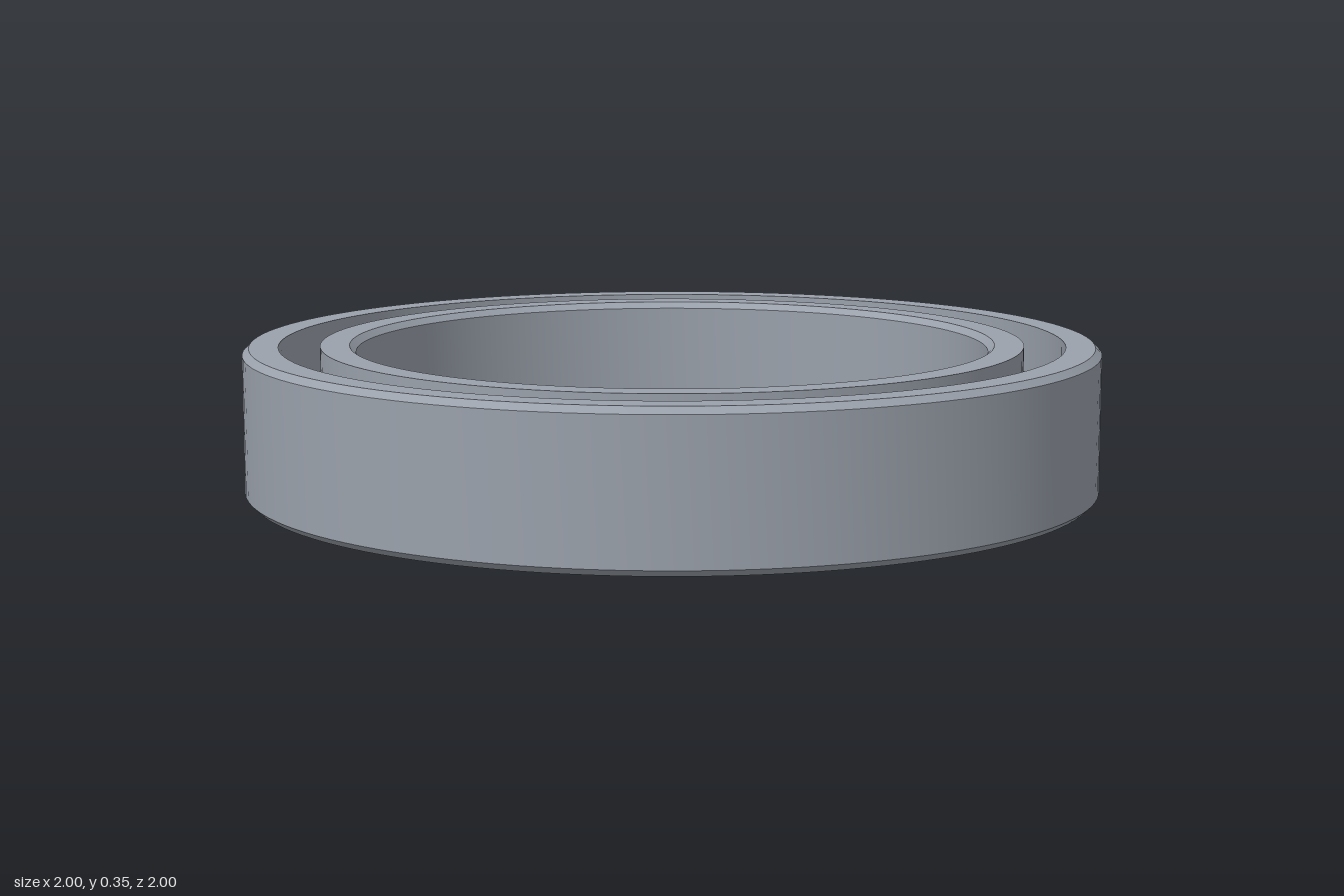
import * as THREE from 'three';
import { toCreasedNormals } from 'three/addons/utils/BufferGeometryUtils.js';

const HEIGHT = 0.35;
const PITCH = 0.869;       // radius of the circle through the ball centres
const LAND = 0.917;        // inner wall of the outer ring
const CHAMFER = 0.015;
const BALL_RADIUS = 0.072;
const BALL_COUNT = 27;

// Closed cross-section of the outer ring, with a curved ball groove in its inner wall
function ringProfile() {
  const points = [
    [LAND, 0], [1 - CHAMFER, 0], [1, CHAMFER],
    [1, HEIGHT - CHAMFER], [1 - CHAMFER, HEIGHT], [LAND, HEIGHT],
  ].map(([r, y]) => new THREE.Vector2(r, y));
  const grooveRadius = BALL_RADIUS + 0.001;
  const half = Math.acos((LAND - PITCH) / grooveRadius);
  const steps = 10;
  for (let i = 0; i <= steps; i++) {
    const a = half * (1 - (2 * i) / steps);
    points.push(new THREE.Vector2(
      PITCH + grooveRadius * Math.cos(a),
      HEIGHT / 2 + grooveRadius * Math.sin(a),
    ));
  }
  points.push(points[0].clone());
  return points;
}

function makeRing(name, profile, material) {
  const geometry = toCreasedNormals(new THREE.LatheGeometry(profile, 128), 0.5);
  const ring = new THREE.Mesh(geometry, material);
  ring.name = name;
  return ring;
}

export function createModel() {
  const model = new THREE.Group();
  model.name = 'ballBearing';
  const steel = new THREE.MeshStandardMaterial({ color: 0x9aa1ab });
  steel.name = 'steel';

  // The inner ring is the outer section mirrored about the pitch circle
  const outer = ringProfile();
  const inner = outer.map((p) => new THREE.Vector2(2 * PITCH - p.x, p.y)).reverse();
  model.add(makeRing('outerRing', outer, steel), makeRing('innerRing', inner, steel));

  // Evenly spaced balls
  const balls = new THREE.Group();
  balls.name = 'balls';
  const ballGeometry = new THREE.SphereGeometry(BALL_RADIUS, 32, 20);
  for (let i = 0; i < BALL_COUNT; i++) {
    const a = -0.028 + (i * Math.PI * 2) / BALL_COUNT;
    const ball = new THREE.Mesh(ballGeometry, steel);
    ball.name = 'ball';
    ball.position.set(PITCH * Math.cos(a), HEIGHT / 2, PITCH * Math.sin(a));
    balls.add(ball);
  }
  model.add(balls);
  return model;
}
